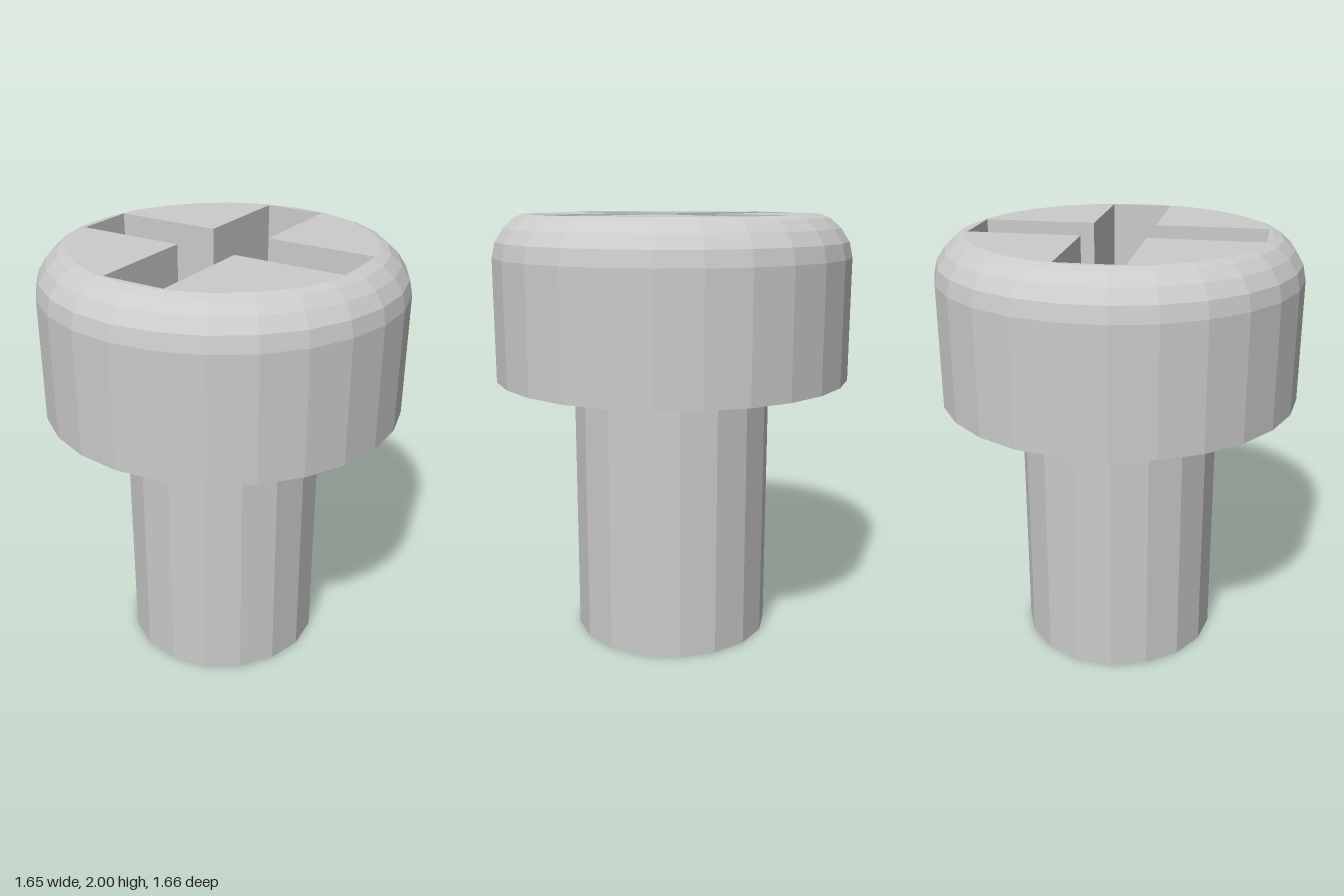
import * as THREE from 'three';

const HEAD_SIDES = 26;
const SHAFT_SIDES = 17;
const FLAT_RADIUS = 0.685; // edge of the flat top
const TOP = 2, HEAD_BOTTOM = 1.25, RECESS_FLOOR = 1.6;

const material = new THREE.MeshStandardMaterial({ color: 0xcccccc, flatShading: true });

function addMesh(group, name, geometry, y = 0) {
  const mesh = new THREE.Mesh(geometry, material);
  mesh.name = name;
  mesh.position.y = y;
  group.add(mesh);
  return mesh;
}

// Revolve [radius, height] pairs
function lathe(pairs, sides) {
  return new THREE.LatheGeometry(pairs.map(([r, y]) => new THREE.Vector2(r, y)), sides);
}

// Twelve corners of a plus sign, counter-clockwise
function crossOutline(length, halfWidth) {
  const points = [];
  for (let i = 0; i < 4; i++) {
    for (const [x, y] of [[length, -halfWidth], [length, halfWidth], [halfWidth, halfWidth]]) {
      points.push(new THREE.Vector2(x, y).rotateAround(new THREE.Vector2(), i * Math.PI / 2));
    }
  }
  return points;
}

// Upright walls along an outline, facing its inside
function innerWalls(outline, y0, y1) {
  const positions = [];
  outline.forEach((a, i) => {
    const b = outline[(i + 1) % outline.length];
    const a0 = [a.x, y0, -a.y], a1 = [a.x, y1, -a.y];
    const b0 = [b.x, y0, -b.y], b1 = [b.x, y1, -b.y];
    positions.push(...a0, ...b1, ...b0, ...a0, ...a1, ...b1);
  });
  const geometry = new THREE.BufferGeometry();
  geometry.setAttribute('position', new THREE.Float32BufferAttribute(positions, 3));
  geometry.computeVertexNormals();
  return geometry;
}

export function createModel() {
  const screw = new THREE.Group();
  screw.name = 'screw';

  // Plain shaft with a closed lower end
  addMesh(screw, 'shaft', lathe([[0, 0], [0.465, 0], [0.465, HEAD_BOTTOM]], SHAFT_SIDES));

  // Head: underside, side wall and rounded shoulder
  const profile = [[0.44, HEAD_BOTTOM], [0.83, HEAD_BOTTOM], [0.83, 1.81],
    [0.815, 1.88], [0.775, 1.94], [0.725, 1.985], [FLAT_RADIUS, TOP]];
  addMesh(screw, 'head', lathe(profile, HEAD_SIDES));

  // Flat top pierced by the cross
  const cross = crossOutline(0.657, 0.145);
  const rim = [];
  for (let i = 0; i < HEAD_SIDES; i++) {
    const a = Math.PI / 2 + i * 2 * Math.PI / HEAD_SIDES;
    rim.push(new THREE.Vector2(Math.cos(a) * FLAT_RADIUS, Math.sin(a) * FLAT_RADIUS));
  }
  const topShape = new THREE.Shape(rim);
  topShape.holes.push(new THREE.Path(cross));
  addMesh(screw, 'headTop', new THREE.ShapeGeometry(topShape).rotateX(-Math.PI / 2), TOP);

  // Cross recess: walls and floor
  addMesh(screw, 'recessWalls', innerWalls(cross, RECESS_FLOOR, TOP));
  const floor = new THREE.ShapeGeometry(new THREE.Shape(cross)).rotateX(-Math.PI / 2);
  addMesh(screw, 'recessFloor', floor, RECESS_FLOOR);

  return screw;
}
